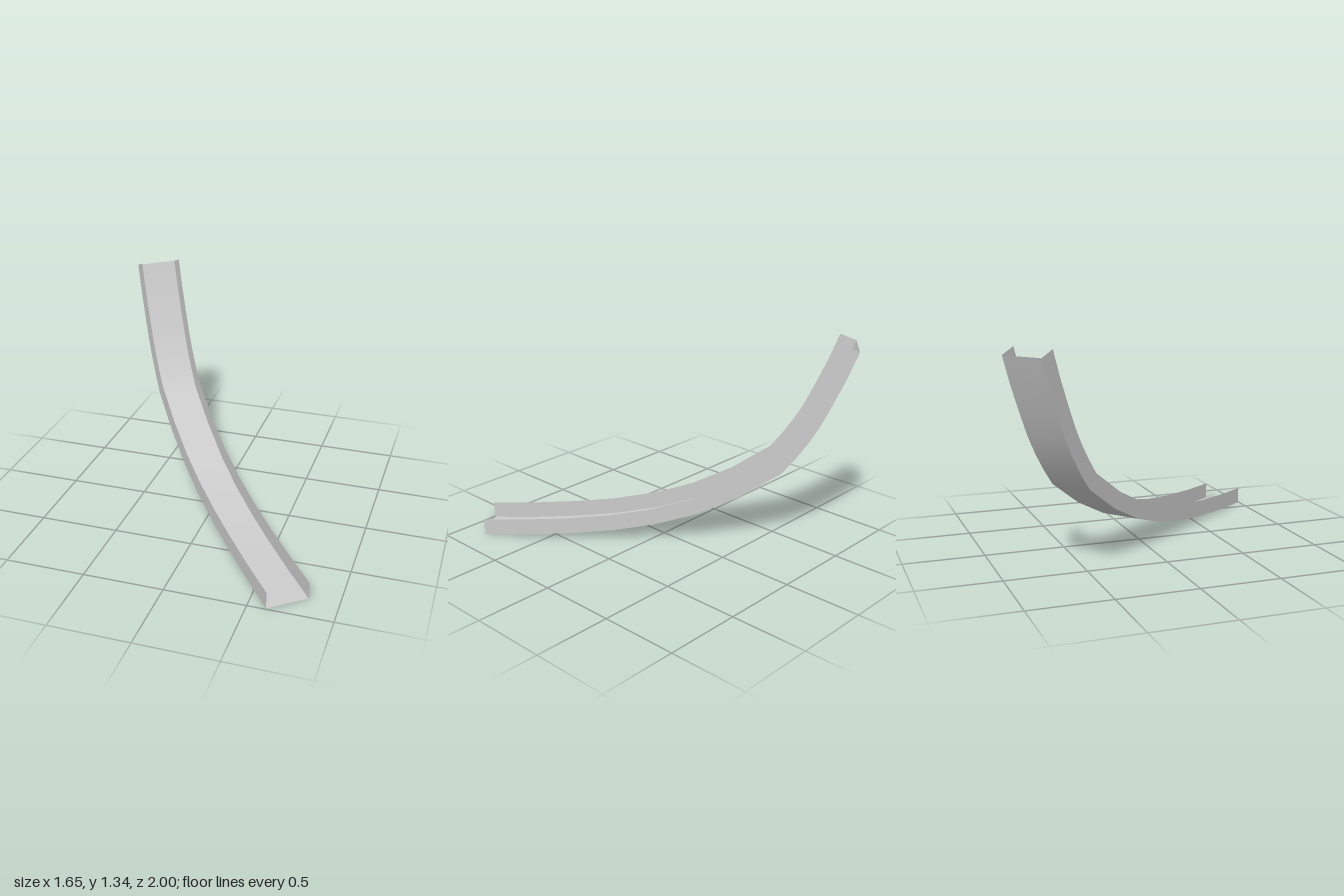
import * as THREE from 'three';

// Floor profile: [distance uphill from the exit, height]
const profile = [
  [0, 0.003], [0.29, 0.015], [0.567, 0.037], [0.83, 0.069], [1.11, 0.125], [1.37, 0.207],
  [1.637, 0.335], [1.896, 0.505], [1.978, 0.605], [2.055, 0.715], [2.122, 0.83],
  [2.183, 0.958], [2.26, 1.13], [2.326, 1.3],
].map(([s, y]) => new THREE.Vector2(s, y));

const HALF_WIDTH = 0.132;
const WALL_HEIGHT = 0.107;
const exit = new THREE.Vector3(0.715, 0, 0.912);
const uphill = new THREE.Vector3(-0.617, 0, -0.787);
const across = new THREE.Vector3(0.787, 0, -0.617);

// Rim: the profile offset along its own normal
const rim = profile.map((p, i) => {
  const before = profile[Math.max(i - 1, 0)];
  const after = profile[Math.min(i + 1, profile.length - 1)];
  const t = after.clone().sub(before).normalize();
  return new THREE.Vector2(p.x - t.y * WALL_HEIGHT, p.y + t.x * WALL_HEIGHT);
});

const place = (p, side) => exit.clone()
  .addScaledVector(uphill, p.x)
  .addScaledVector(across, side * HALF_WIDTH)
  .setY(p.y);

// Smooth sheet between two edges running along the chute
function sheet(name, edgeA, edgeB, material) {
  const points = [];
  const index = [];
  edgeA.forEach((a, i) => {
    points.push(a, edgeB[i]);
    if (i > 0) {
      const k = 2 * i;
      index.push(k - 2, k - 1, k, k - 1, k + 1, k);
    }
  });
  const geometry = new THREE.BufferGeometry().setFromPoints(points);
  geometry.setIndex(index);
  geometry.computeVertexNormals();
  const mesh = new THREE.Mesh(geometry, material);
  mesh.name = name;
  return mesh;
}

export function createModel() {
  const group = new THREE.Group();
  group.name = 'curvedChute';
  const material = new THREE.MeshStandardMaterial({ color: 0xcccccc, side: THREE.DoubleSide });
  const edge = (curve, side) => curve.map((p) => place(p, side));

  // Floor with a thin upright wall on each side
  group.add(sheet('floor', edge(profile, -1), edge(profile, 1), material));
  group.add(sheet('rightWall', edge(rim, -1), edge(profile, -1), material));
  group.add(sheet('leftWall', edge(profile, 1), edge(rim, 1), material));
  return group;
}
